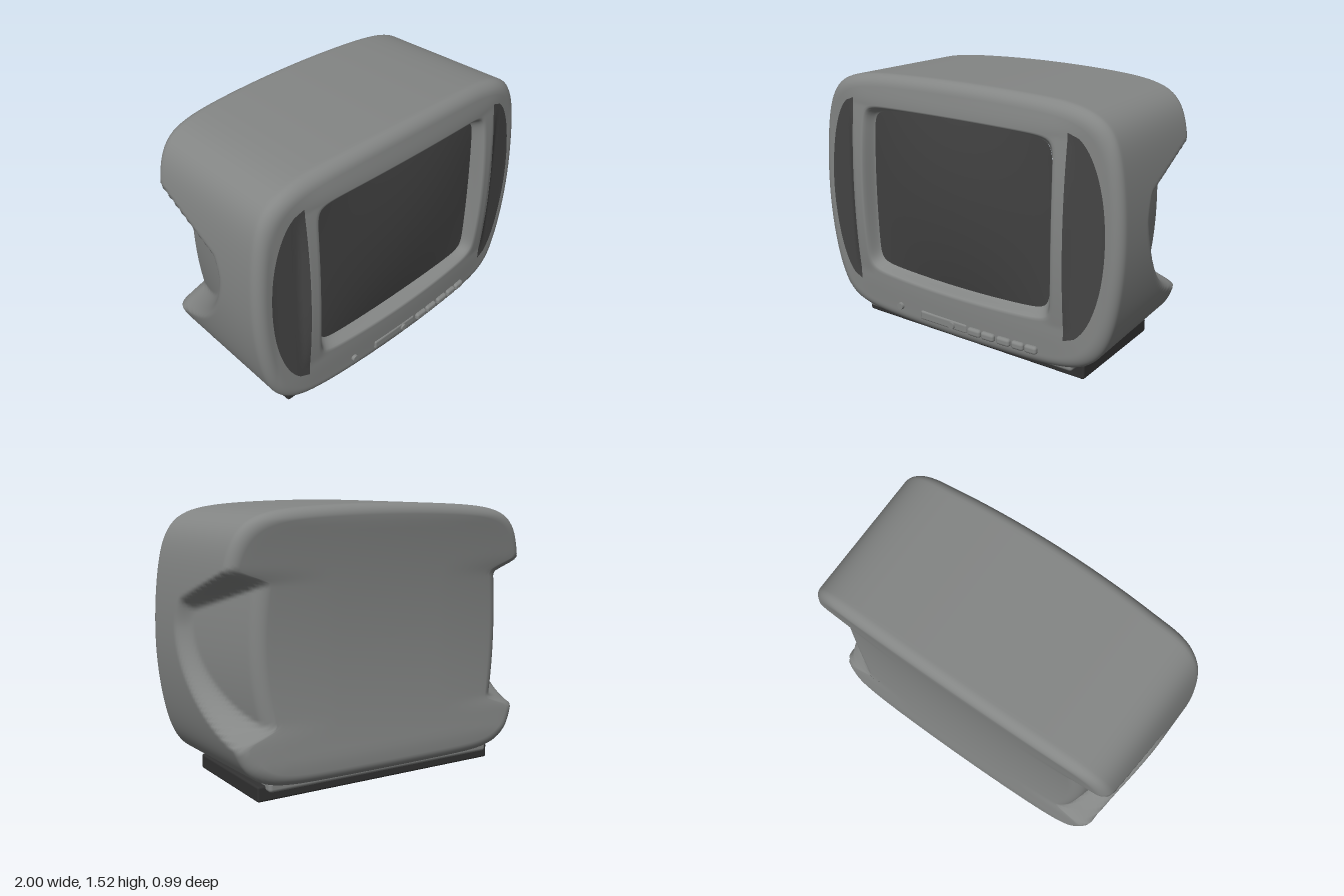
import * as THREE from 'three';
import { RoundedBoxGeometry } from 'three/addons/geometries/RoundedBoxGeometry.js';

const { lerp, clamp, smoothstep } = THREE.MathUtils;
const SEG = 256;
const EDGE = 0.06; // rounding of the cabinet edges
// how far the corners pull in: [upper sides, lower sides, top, bottom]
const BODY = [0.09, 0.13, 0.06, 0];
const SCREEN = [0.03, 0.03, 0.055, 0.055];

// front face depth: gently bowed, raked at the top, with raised pillars beside the screen
function frontZ(x, y) {
  const ax = Math.abs(x);
  const bow = 0.43 + 0.055 * Math.max(0, 1 - (x / 0.9) ** 2);
  const rake = (y > 0.82 ? 0.025 : 0.006) *
    smoothstep(Math.abs(y - 0.82), 0.52, 0.72) * (1 - smoothstep(ax, 0.6, 0.9));
  const pillar = smoothstep(ax, 0.58, 0.64) * (1 - smoothstep(ax, 0.7, 0.76));
  return bow - rake + 0.03 * pillar * Math.max(0, 1 - ((y - 0.83) / 0.5) ** 2);
}

// back face depth: hollow along its height, bowed across its width
function backZ(x, y) {
  return -0.445 - 0.045 * Math.min(1, ((y - 0.82) / 0.62) ** 2) + 0.022 * (x / 0.9) ** 2;
}

// grip hollow in each side, open to the back
function gripDepth(y, z) {
  const top = 1.21 - 0.35 * (z + 0.44) - y;
  const u = Math.abs(z + 0.46) / 0.59, v = Math.abs(y - 0.88) / (y > 0.88 ? 0.48 : 0.57);
  const curve = 0.58 * (1 - (u ** 1.7 + v ** 1.7) ** (1 / 1.7));
  const mask = smoothstep(Math.min(top, curve), 0, 0.09);
  return mask * (0.05 + 0.15 * clamp((0.1 - z) / 0.55, 0, 1));
}

// skin over barrelled superellipse rings { a, b, cy, n, pull, z(x, y) }
function loft(rings, bend) {
  const pos = [], index = [];
  rings.forEach(({ a, b, cy, n, pull, z }, i) => {
    for (let j = 0; j < SEG; j++) {
      const t = (j / SEG) * Math.PI * 2, c = Math.cos(t), s = Math.sin(t);
      const r = (Math.abs(c) ** n + Math.abs(s) ** n) ** (-1 / n);
      const up = s > 0 ? 0 : 1;
      const x = a * r * c * (1 - pull[up] * (r * s) ** 2);
      const y = cy + b * r * s * (1 - pull[2 + up] * (r * c) ** 2);
      const d = z(x, y);
      pos.push(bend ? bend(x, y, d) : x, y, d);
      if (i < rings.length - 1) {
        const k = (j + 1) % SEG, p = i * SEG, q = p + SEG;
        index.push(p + j, p + k, q + j, p + k, q + k, q + j);
      }
    }
  });
  const geo = new THREE.BufferGeometry();
  geo.setAttribute('position', new THREE.Float32BufferAttribute(pos, 3));
  geo.setIndex(index);
  geo.computeVertexNormals();
  return geo;
}

function cabinetGeometry() {
  const rings = [];
  const add = (a, b, z, cy = 0.8, n = 8.5, pull = BODY) => rings.push({ a, b, cy, n, pull, z });
  const A0 = 0.975, A1 = 1, B0 = 0.718, B1 = 0.725;
  // back face
  for (let i = 0; i < 18; i++) {
    const s = Math.max(0.001, i / 18);
    add((A0 - EDGE) * s, (B0 - EDGE) * s, backZ);
  }
  // rounded back edge
  for (let i = 0; i <= 8; i++) {
    const p = (i / 8) * Math.PI / 2, d = EDGE * (1 - Math.sin(p));
    add(A0 - d, B0 - d, (x, y) => backZ(x, y) + EDGE * (1 - Math.cos(p)));
  }
  // side walls
  for (let i = 1; i < 44; i++) {
    const v = i / 44;
    add(lerp(A0, A1, v), lerp(B0, B1, v),
      (x, y) => lerp(backZ(x, y) + EDGE, frontZ(x, y) - EDGE, v));
  }
  // rounded front edge
  for (let i = 0; i <= 8; i++) {
    const p = (i / 8) * Math.PI / 2, d = EDGE * (1 - Math.cos(p));
    add(A1 - d, B1 - d, (x, y) => frontZ(x, y) - EDGE * (1 - Math.sin(p)));
  }
  // front face, blending into the screen opening
  for (let i = 1; i <= 18; i++) {
    const v = i / 18;
    add(lerp(A1 - EDGE, 0.64, v), lerp(B1 - EDGE, 0.505, v), frontZ,
      lerp(0.8, 0.84, v), lerp(8.5, 16, v), BODY.map((k, j) => lerp(k, SCREEN[j] / 2, v)));
  }
  // sloped wall of the screen opening
  for (let i = 1; i <= 6; i++) {
    const v = i / 6;
    add(lerp(0.64, 0.598, v), lerp(0.505, 0.476, v),
      (x, y) => lerp(frontZ(x, y), 0.4, smoothstep(v, 0, 1)),
      lerp(0.84, 0.845, v), 16, SCREEN.map((k) => lerp(k / 2, k, v)));
  }
  return loft(rings, (x, y, z) => {
    const reach = clamp((Math.abs(x) - 0.35) / 0.55, 0, 1);
    return x - Math.sign(x) * gripDepth(y, z) * reach;
  });
}

// domed glass
function screenGeometry() {
  const rings = [];
  const dome = (x, y) => 0.407 + 0.04 *
    Math.max(0, 1 - (x / 0.6) ** 2) * Math.max(0, 1 - ((y - 0.845) / 0.48) ** 2);
  for (let i = 0; i <= 16; i++) {
    const s = Math.max(0.001, 1 - i / 16);
    rings.push({ a: 0.602 * s, b: 0.48 * s, cy: 0.845, n: lerp(2, 16, s), pull: SCREEN, z: dome });
  }
  return loft(rings);
}

// crescent grille following the front face
function grilleGeometry(side) {
  const geo = new THREE.PlaneGeometry(1, 1, 12, 48);
  const p = geo.attributes.position;
  for (let i = 0; i < p.count; i++) {
    const u = p.getX(i) + 0.5, v = p.getY(i) * 2;
    const w = 0.212 * Math.sqrt(Math.max(0, 1 - v * v));
    const x = side * (0.705 + w * (side > 0 ? u : 1 - u));
    const y = 0.815 + 0.55 * v;
    p.setXYZ(i, x, y, frontZ(x, y) + 0.007);
  }
  geo.computeVertexNormals();
  return geo;
}

export function createModel() {
  const group = new THREE.Group();
  const mat = (name, color, side = THREE.FrontSide) => {
    const m = new THREE.MeshStandardMaterial({ color, side });
    m.name = name;
    return m;
  };
  const grey = mat('cabinet grey', 0x848685);
  const glass = mat('screen charcoal', 0x414141);
  const cloth = mat('grille charcoal', 0x454545, THREE.DoubleSide);
  const black = mat('base black', 0x323232);
  const add = (name, geo, material, x = 0, y = 0, z = 0) => {
    const mesh = new THREE.Mesh(geo, material);
    mesh.name = name;
    mesh.position.set(x, y, z);
    group.add(mesh);
    return mesh;
  };

  add('cabinet', cabinetGeometry(), grey);
  add('screen', screenGeometry(), glass);
  add('leftSpeakerGrille', grilleGeometry(1), cloth);
  add('rightSpeakerGrille', grilleGeometry(-1), cloth);

  // stand, and the cabinet's lower skirt resting on it
  add('base', new RoundedBoxGeometry(1.53, 0.085, 0.71, 2, 0.012), black, 0, 0.0425, -0.02);
  add('lowerSkirt', new RoundedBoxGeometry(1.44, 0.06, 0.81, 3, 0.02), grey, 0, 0.084, -0.015);

  // control strip below the screen
  const y = 0.165;
  add('controlPanel', new RoundedBoxGeometry(0.33, 0.055, 0.03, 3, 0.012), grey,
    -0.065, y, frontZ(0, y) - 0.008);
  [[0, y], [-0.385, 0.175]].forEach(([x, ky], i) => {
    const knob = add(i ? 'smallKnob' : 'knob', new THREE.CylinderGeometry(0.02, 0.022, 0.03, 24),
      grey, x, ky, frontZ(x, ky) + 0.003);
    knob.rotation.x = Math.PI / 2;
  });
  [0.155, 0.245, 0.345, 0.435, 0.515].forEach((x, i) => {
    const width = i < 3 ? 0.086 : 0.076;
    const button = add('button' + (i + 1), new RoundedBoxGeometry(width, 0.046, 0.044, 3, 0.016),
      grey, x, y, frontZ(x, y));
    button.rotation.y = 0.12 * x;
  });
  return group;
}
